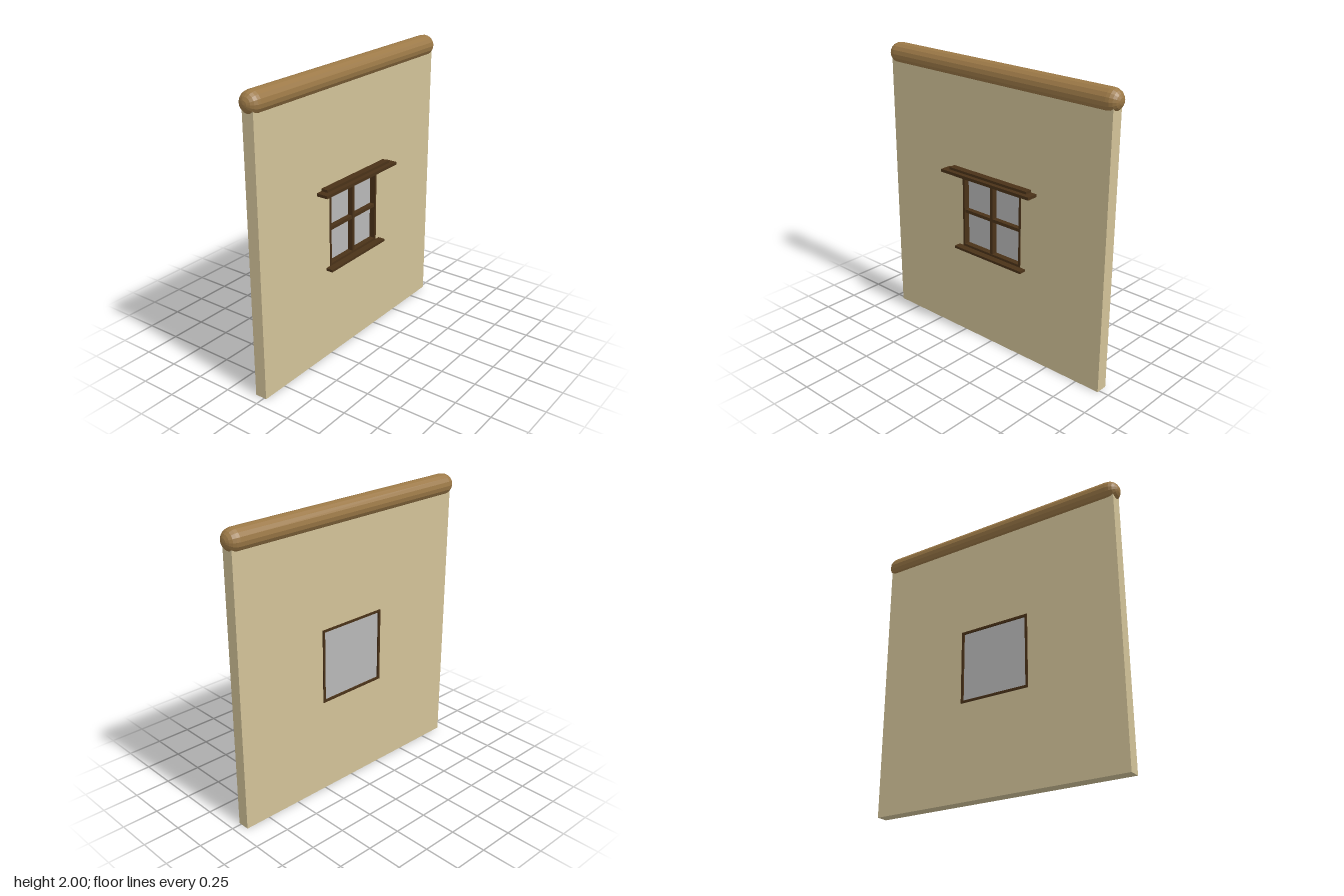
import * as THREE from 'three';

const paint = (color) => new THREE.MeshStandardMaterial({ color });

export function createModel() {
  const model = new THREE.Group();
  const plaster = paint(0xd2c298), logWood = paint(0x9c7947), darkWood = paint(0x4a3218), glass = paint(0xb8b8b8);
  logWood.flatShading = true;

  // Box given by its lower and upper limits on each axis
  const box = (name, material, [x0, x1], [y0, y1], [z0, z1], parent) => {
    const mesh = new THREE.Mesh(new THREE.BoxGeometry(x1 - x0, y1 - y0, z1 - z0), material);
    mesh.position.set((x0 + x1) / 2, (y0 + y1) / 2, (z0 + z1) / 2);
    mesh.name = name;
    parent.add(mesh);
  };
  const rectangle = (Type, x, y0, y1) => new Type([[-x, y0], [x, y0], [x, y1], [-x, y1]].map(p => new THREE.Vector2(...p)));

  // Wall panel with a window opening
  const wallShape = rectangle(THREE.Shape, 0.93, 0, 1.9);
  wallShape.holes.push(rectangle(THREE.Path, 0.25, 0.68, 1.18));
  const wall = new THREE.Mesh(new THREE.ExtrudeGeometry(wallShape, { depth: 0.084, bevelEnabled: false }), plaster);
  wall.position.z = -0.066;
  wall.name = 'wall';
  model.add(wall);

  // Rounded log along the top, with a flattened underside
  const logGeometry = new THREE.CapsuleGeometry(0.073, 1.774, 5, 16);
  logGeometry.rotateZ(Math.PI / 2);
  const p = logGeometry.attributes.position;
  for (let i = 0; i < p.count; i++) p.setY(i, Math.max(p.getY(i), -0.066));
  logGeometry.computeVertexNormals();
  const log = new THREE.Mesh(logGeometry, logWood);
  log.position.set(0, 1.927, -0.027);
  log.name = 'topLog';
  model.add(log);

  // Window frame, passing through the wall
  const windowGroup = new THREE.Group();
  windowGroup.name = 'window';
  model.add(windowGroup);
  const frameShape = rectangle(THREE.Shape, 0.26, 0.67, 1.19);
  frameShape.holes.push(rectangle(THREE.Path, 0.244, 0.686, 1.174));
  const frame = new THREE.Mesh(new THREE.ExtrudeGeometry(frameShape, { depth: 0.095, bevelEnabled: false }), darkWood);
  frame.position.z = -0.073;
  frame.name = 'windowFrame';
  windowGroup.add(frame);

  // Pane and crossing bars
  box('windowPane', glass, [-0.246, 0.246], [0.684, 1.176], [-0.062, -0.02], windowGroup);
  box('verticalBar', darkWood, [-0.011, 0.011], [0.68, 1.18], [-0.03, 0.018], windowGroup);
  box('horizontalBar', darkWood, [-0.25, 0.25], [0.922, 0.944], [-0.03, 0.016], windowGroup);

  // Stepped lintel and sill
  const ledges = [
    ['lintelTop', 0.34, 1.228, 1.245, 0.068],
    ['lintelShelf', 0.386, 1.208, 1.228, 0.1],
    ['lintelBase', 0.3, 1.19, 1.208, 0.068],
    ['sill', 0.3, 0.653, 0.67, 0.068],
  ];
  for (const [name, x, y0, y1, z] of ledges) box(name, darkWood, [-x, x], [y0, y1], [0.01, z], windowGroup);

  return model;
}
